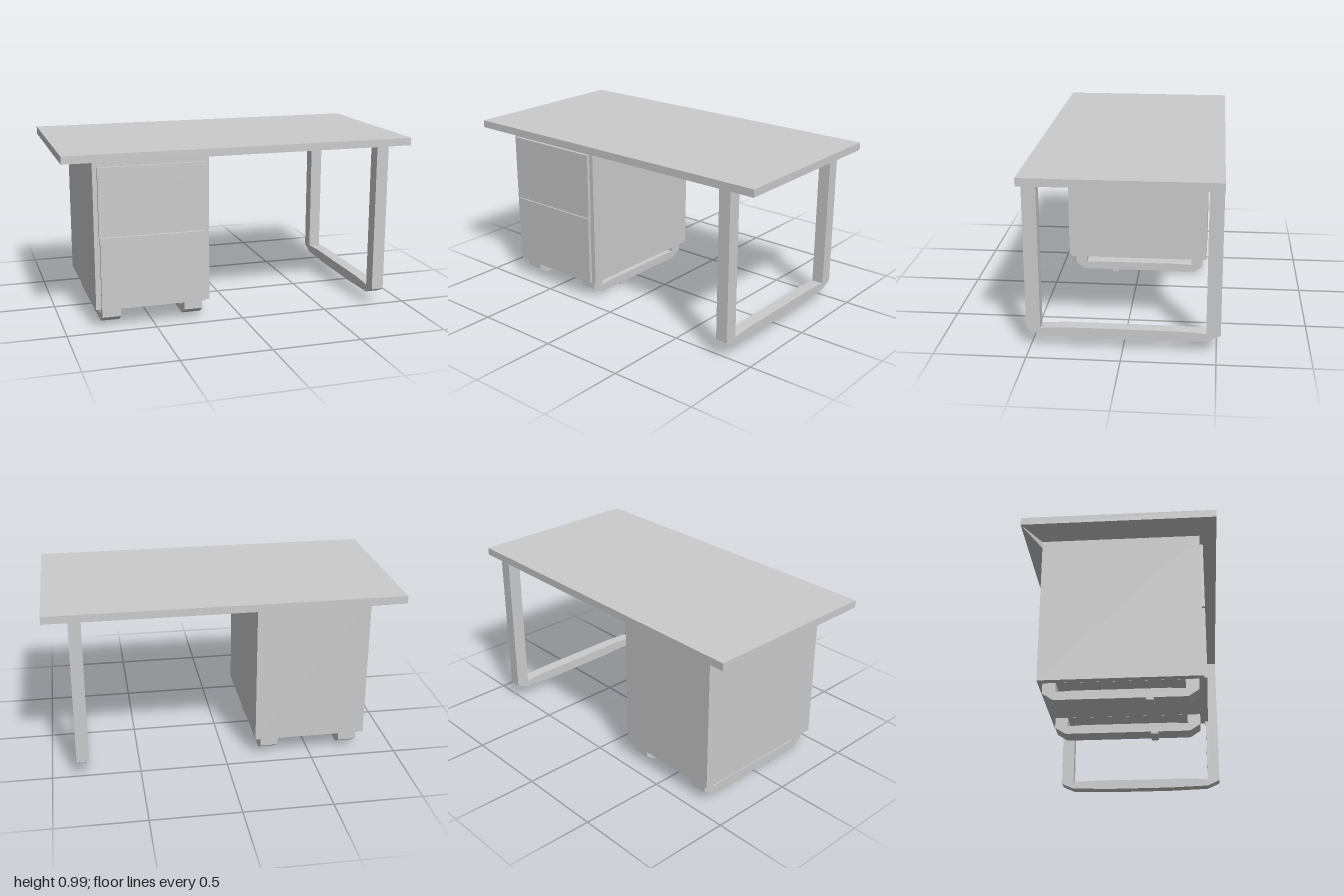
import * as THREE from 'three';

const grey = new THREE.MeshStandardMaterial({ color: 0xcccccc, flatShading: true });
const greyDouble = new THREE.MeshStandardMaterial({ color: 0xcccccc, flatShading: true, side: THREE.DoubleSide });

// Box given by its minimum and maximum corners
function box(name, [x0, y0, z0], [x1, y1, z1]) {
  const geometry = new THREE.BoxGeometry(x1 - x0, y1 - y0, z1 - z0);
  geometry.translate((x0 + x1) / 2, (y0 + y1) / 2, (z0 + z1) / 2);
  const mesh = new THREE.Mesh(geometry, grey);
  mesh.name = name;
  return mesh;
}

// Turns one half of a profile, listed as (z, y), into a symmetric loop
function mirrored(half) {
  const loop = [...half, ...half.slice().reverse().map(([z, y]) => [-z, y])];
  return loop.map(([z, y]) => new THREE.Vector2(-z, y));
}

// Closed loop with an opening, extruded across x
function frame(name, outer, inner, x0, x1) {
  const shape = new THREE.Shape(mirrored(outer));
  shape.holes.push(new THREE.Path(mirrored(inner)));
  const geometry = new THREE.ExtrudeGeometry(shape, { depth: x1 - x0, bevelEnabled: false });
  geometry.rotateY(Math.PI / 2).translate(x0, 0, 0);
  const mesh = new THREE.Mesh(geometry, grey);
  mesh.name = name;
  return mesh;
}

export function createModel() {
  const desk = new THREE.Group();
  desk.name = 'desk';

  desk.add(box('tabletop', [-1, 0.947, -0.522], [1, 0.99, 0.522]));

  // Loop leg with chamfered lower corners and a slightly bowed foot bar
  desk.add(frame('legFrame',
    [[0.522, 0.947], [0.522, 0.1], [0.51, 0.092], [0.445, 0.063], [0.38, 0.061], [0.2, 0.055]],
    [[0.445, 0.937], [0.445, 0.104], [0.42, 0.109], [0.3, 0.115]],
    0.79, 0.86));

  // Pedestal with two drawer fronts
  const pedestal = new THREE.Group();
  pedestal.name = 'drawerPedestal';
  pedestal.add(
    box('cabinet', [-0.825, 0.108, -0.43], [-0.178, 0.947, 0.43]),
    box('upperDrawer', [-0.8, 0.52, 0.43], [-0.203, 0.905, 0.447]),
    box('lowerDrawer', [-0.795, 0.108, 0.43], [-0.208, 0.515, 0.447]));
  desk.add(pedestal);

  // Loop runners under the pedestal, each with a small glide
  for (const [x0, x1] of [[-0.787, -0.683], [-0.317, -0.213]]) {
    desk.add(frame('runner',
      [[0.405, 0.108], [0.405, 0.05], [0.35, 0.014], [0.33, 0.012]],
      [[0.335, 0.1075], [0.335, 0.057], [0.25, 0.062]],
      x0, x1));
    desk.add(box('glide', [x0, 0, 0.13], [x1, 0.013, 0.17]));
  }

  // Thin brace from the rear corner of the top to the pedestal
  const braceGeometry = new THREE.BufferGeometry().setFromPoints([
    new THREE.Vector3(-1, 0.947, -0.522),
    new THREE.Vector3(-0.825, 0.907, -0.43),
    new THREE.Vector3(-0.825, 0.947, -0.43),
  ]);
  braceGeometry.computeVertexNormals();
  const brace = new THREE.Mesh(braceGeometry, greyDouble);
  brace.name = 'cornerBrace';
  desk.add(brace);

  return desk;
}
